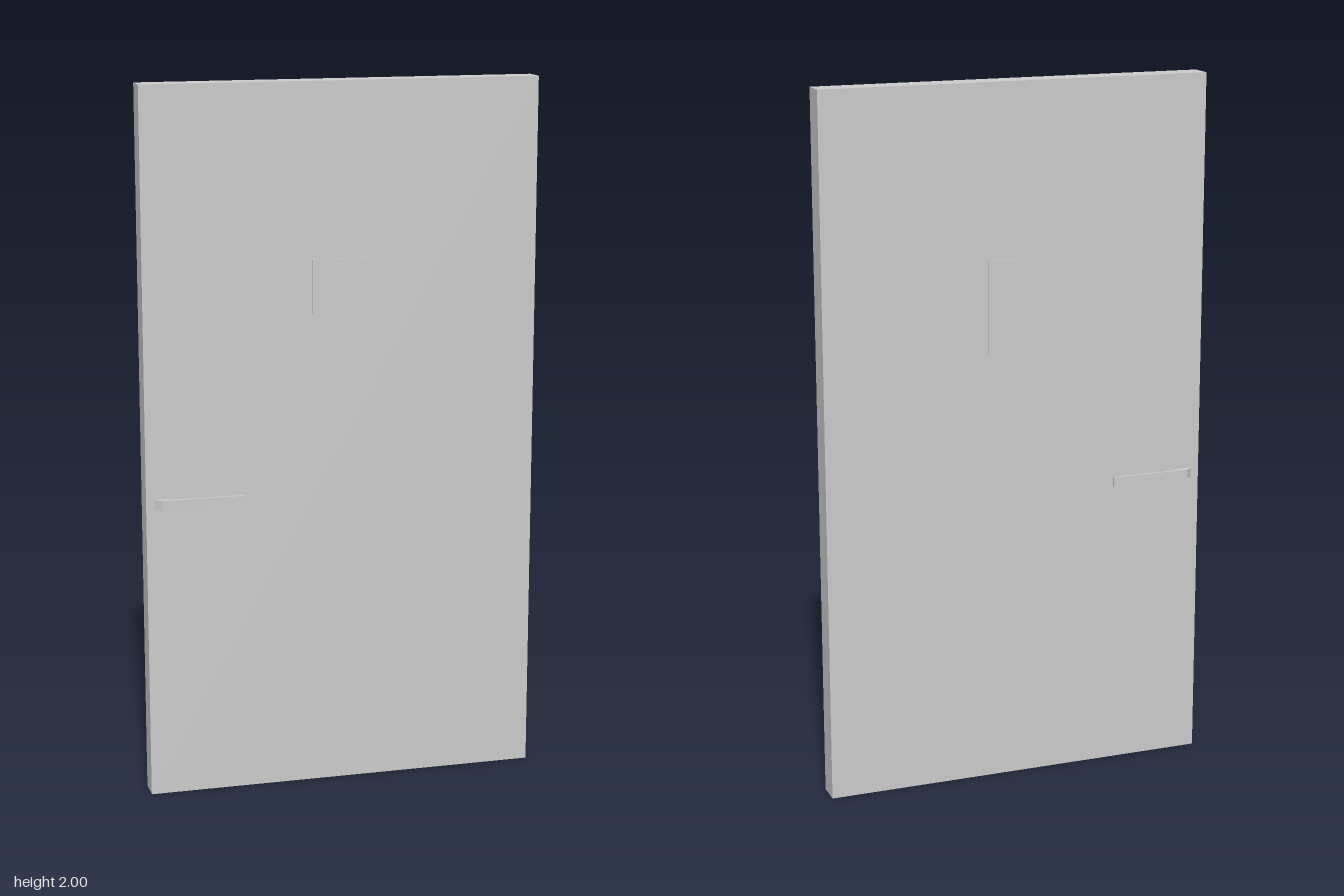
import * as THREE from 'three';

export function createModel() {
  const door = new THREE.Group();
  door.name = 'door';
  const material = new THREE.MeshStandardMaterial({ color: 0xcccccc, flatShading: true });

  const addPart = (name, geometry, x, y, z) => {
    const mesh = new THREE.Mesh(geometry, material);
    mesh.name = name;
    mesh.position.set(x, y, z);
    door.add(mesh);
  };

  // Door slab
  addPart('doorSlab', new THREE.BoxGeometry(1.12, 2, 0.07), 0, 1, 0);

  // Thin window pane and lever handle on each face
  for (const [side, s] of [['front', 1], ['back', -1]]) {
    addPart(side + 'WindowPane', new THREE.BoxGeometry(0.173, 0.381, 0.006), 0, 1.323, s * 0.035);

    // Handle plan in x and z: angled neck leading into a flat lever
    const plan = [
      [-0.538, 0.034], [-0.519, 0.0525], [-0.288, 0.0525],
      [-0.288, 0.0455], [-0.478, 0.0455], [-0.503, 0.034],
    ].map(([x, z]) => new THREE.Vector2(x, s * z));
    const lever = new THREE.ExtrudeGeometry(new THREE.Shape(plan), { depth: 0.028, bevelEnabled: false });
    lever.rotateX(Math.PI / 2);
    addPart(side + 'Handle', lever, 0, 0.863, 0);
  }

  return door;
}
